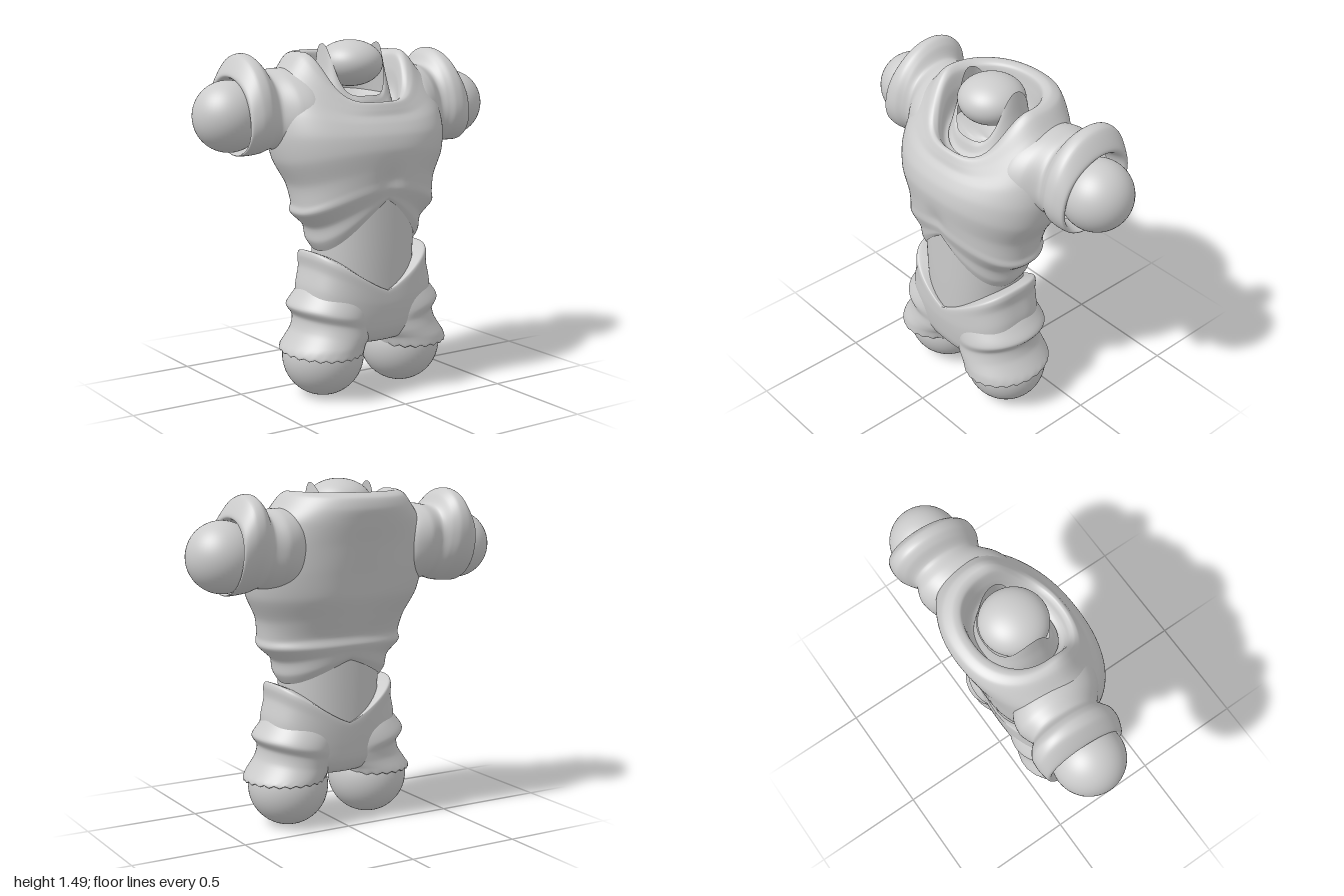
import * as THREE from 'three';

const material = new THREE.MeshStandardMaterial({ color: 0xcccccc, side: THREE.DoubleSide });
const SEG = 96, SUB = 6;

// Smooth interpolation of every column of a list of section rows
function sample(rows, t) {
  const i = Math.min(Math.floor(t), rows.length - 2), f = t - i;
  const at = (k) => rows[Math.max(0, Math.min(rows.length - 1, k))];
  return rows[i].map((p1, c) => {
    const p0 = at(i - 1)[c], p2 = at(i + 1)[c], p3 = at(i + 2)[c];
    const m1 = (p2 - p0) * 0.4, m2 = (p3 - p1) * 0.4, f2 = f * f, f3 = f2 * f;
    return (2 * f3 - 3 * f2 + 1) * p1 + (f3 - 2 * f2 + f) * m1 + (3 * f2 - 2 * f3) * p2 + (f3 - f2) * m2;
  });
}

// Closed-ring surface through interpolated section rows; point(row, angle) gives [x, y, z]
function loft(name, rows, point) {
  const pos = [], index = [], n = (rows.length - 1) * SUB;
  for (let i = 0; i <= n; i++) {
    const row = sample(rows, i / SUB);
    for (let j = 0; j < SEG; j++) pos.push(...point(row, (j / SEG) * Math.PI * 2));
  }
  for (let i = 0; i < n; i++) for (let j = 0; j < SEG; j++) {
    const a = i * SEG + j, b = i * SEG + (j + 1) % SEG;
    index.push(a, a + SEG, b, b, a + SEG, b + SEG);
  }
  const g = new THREE.BufferGeometry();
  g.setAttribute('position', new THREE.Float32BufferAttribute(pos, 3));
  g.setIndex(index);
  g.computeVertexNormals();
  const mesh = new THREE.Mesh(g, material);
  mesh.name = name;
  return mesh;
}

const soften = (v, power) => Math.sign(v) * Math.abs(v) ** power;

// Body ring: [yFront, ySide, yBack, halfWidth, zFront, zBack, sharpness]; lower power is boxier
function bodyPoint([yF, yS, yB, w, zF, zB, e], a, power = 0.9) {
  const c = Math.cos(a), s = Math.sin(a);
  const z = (zF + zB) / 2 + ((zF - zB) / 2) * soften(s, power);
  const y = yS + ((s > 0 ? yF : yB) - yS) * (1 - Math.abs(c) ** e);
  return [w * soften(c, power), y, z];
}
const roundPoint = (row, a) => bodyPoint(row, a);
const seatPoint = (row, a) => bodyPoint(row, a, 0.72);

// Shirt ring with a soft breastbone crease and a shallow hollow down the spine
function shirtPoint(row, a) {
  const [x, y, z] = bodyPoint(row, a);
  const crease = 0.014 * Math.exp(-((x / 0.05) ** 2) - ((y - 0.93) / 0.06) ** 2);
  const hollow = 0.015 * Math.exp(-((x / 0.12) ** 2) - ((y - 1.08) / 0.14) ** 2);
  return [x, y, z > 0.14 ? z - crease : z + hollow];
}

function ball(name, x, y, z, r, ry = r) {
  const m = new THREE.Mesh(new THREE.SphereGeometry(r, 48, 32), material);
  m.position.set(x, y, z);
  m.scale.y = ry / r;
  m.name = name;
  return m;
}

export function createModel() {
  const model = new THREE.Group();

  // Shirt: arched hem, rib folds, chest, then the rolled neckline turning inward
  model.add(loft('shirt', [
    [0.85, 0.63, 0.74, 0.225, 0.372, -0.012, 1.1],
    [0.86, 0.67, 0.755, 0.25, 0.38, -0.025, 1.1],
    [0.87, 0.73, 0.78, 0.262, 0.385, -0.035, 1.3],
    [0.9, 0.79, 0.81, 0.325, 0.398, -0.045, 1.5],
    [0.935, 0.83, 0.85, 0.322, 0.4, -0.04, 1.8],
    [0.98, 0.91, 0.93, 0.335, 0.405, -0.075, 2],
    [1.06, 1.01, 1.02, 0.385, 0.412, -0.115, 2],
    [1.12, 1.12, 1.13, 0.405, 0.4, -0.135, 2.2],
    [1.165, 1.23, 1.24, 0.395, 0.375, -0.15, 2.5],
    [1.195, 1.33, 1.33, 0.355, 0.352, -0.17, 2.9],
    [1.22, 1.395, 1.385, 0.305, 0.342, -0.18, 3.3],
    [1.245, 1.44, 1.43, 0.268, 0.33, -0.168, 3.6],
    [1.25, 1.452, 1.45, 0.238, 0.315, -0.13, 3.8],
    [1.235, 1.43, 1.44, 0.212, 0.3, -0.098, 3.8],
    [1.21, 1.37, 1.39, 0.197, 0.29, -0.088, 3.5],
    [1.19, 1.28, 1.3, 0.18, 0.268, -0.07, 3],
    [1.17, 1.23, 1.24, 0.1, 0.2, -0.01, 2],
    [1.16, 1.2, 1.2, 0.001, 0.091, 0.089, 2],
  ], shirtPoint));

  // Inner collar with a raised point on each side
  model.add(loft('innerCollar', [
    [1.2, 1.26, 1.26, 0.17, 0.26, -0.06, 2],
    [1.22, 1.33, 1.3, 0.16, 0.245, -0.055, 2.5],
    [1.25, 1.4, 1.34, 0.148, 0.235, -0.05, 3.5],
    [1.27, 1.485, 1.37, 0.138, 0.225, -0.048, 5],
  ], roundPoint));
  model.add(ball('neckBall', 0, 1.4, 0.09, 0.14, 0.098));

  // Bare waist between shirt and trousers
  model.add(loft('waist', [
    [0.4, 0.4, 0.4, 0.205, 0.36, 0.0, 2],
    [0.62, 0.62, 0.62, 0.22, 0.367, -0.005, 2],
    [0.92, 0.92, 0.92, 0.23, 0.37, -0.01, 2],
  ], roundPoint));

  // Trouser seat with a dipped waistband, closing at the crotch
  model.add(loft('trouserSeat', [
    [0.23, 0.23, 0.23, 0.02, 0.22, 0.15, 2],
    [0.235, 0.24, 0.235, 0.12, 0.3, 0.07, 2],
    [0.255, 0.27, 0.255, 0.21, 0.345, 0.03, 2],
    [0.3, 0.32, 0.3, 0.265, 0.367, 0.006, 1.8],
    [0.36, 0.39, 0.36, 0.298, 0.377, -0.004, 1.5],
    [0.41, 0.48, 0.41, 0.296, 0.382, -0.01, 1.2],
    [0.45, 0.56, 0.45, 0.278, 0.382, -0.014, 0.95],
    [0.465, 0.61, 0.465, 0.28, 0.38, -0.014, 0.85],
    [0.468, 0.632, 0.468, 0.268, 0.374, -0.01, 0.85],
    [0.458, 0.61, 0.458, 0.21, 0.35, 0.015, 0.85],
  ], seatPoint));

  // Sections: leg [y, xCentre, rx, zCentre, rz], sleeve [x, yCentre, ry, zCentre, rz]
  const leg = [
    [0.215, 0.2, 0.15, 0.185, 0.165], [0.207, 0.215, 0.17, 0.19, 0.195],
    [0.23, 0.207, 0.173, 0.19, 0.197], [0.3, 0.17, 0.163, 0.19, 0.19],
    [0.355, 0.155, 0.167, 0.185, 0.189], [0.4, 0.168, 0.18, 0.182, 0.199],
    [0.45, 0.145, 0.168, 0.182, 0.184], [0.53, 0.12, 0.13, 0.185, 0.14],
  ];
  const sleeve = [
    [0.2, 1.2, 0.12, 0.1, 0.13], [0.27, 1.205, 0.175, 0.09, 0.19],
    [0.34, 1.215, 0.172, 0.068, 0.187], [0.4, 1.22, 0.16, 0.052, 0.153],
    [0.435, 1.24, 0.186, 0.042, 0.17], [0.465, 1.247, 0.202, 0.04, 0.186],
    [0.505, 1.24, 0.2, 0.04, 0.188], [0.548, 1.207, 0.168, 0.04, 0.174],
    [0.542, 1.2, 0.153, 0.04, 0.152], [0.47, 1.2, 0.14, 0.04, 0.135],
  ];

  for (const [side, label] of [[1, 'left'], [-1, 'right']]) {
    // Trouser leg, with a finely jagged hem and folds slanting down to the crotch
    model.add(loft(label + 'TrouserLeg', leg, ([y, xc, rx, zc, rz], a) => {
      const c = Math.cos(a), low = Math.max(0, (0.235 - y) / 0.03);
      const jag = low * (0.005 * Math.cos(a * 24) - 0.01 * Math.sin(a));
      const slant = y > 0.24 ? 0.032 * Math.sin(((y - 0.24) / 0.29) * Math.PI) * (c * side - 1) : 0;
      return [side * xc + rx * c, y + jag + slant, zc + rz * Math.sin(a)];
    }));
    model.add(ball(label + 'LegBall', side * 0.2, 0.18, 0.18, 0.174));

    // Sleeve with a thick flared cuff, leaning back toward the top
    model.add(loft(label + 'Sleeve', sleeve, ([x, yc, ry, zc, rz], a) => {
      const up = ry * soften(Math.cos(a), 0.9);
      return [side * x, yc + up, zc - side * rz * Math.sin(a) - 0.2 * up];
    }));
    model.add(ball(label + 'ArmBall', side * 0.565, 1.2, 0.045, 0.147));
  }
  return model;
}
